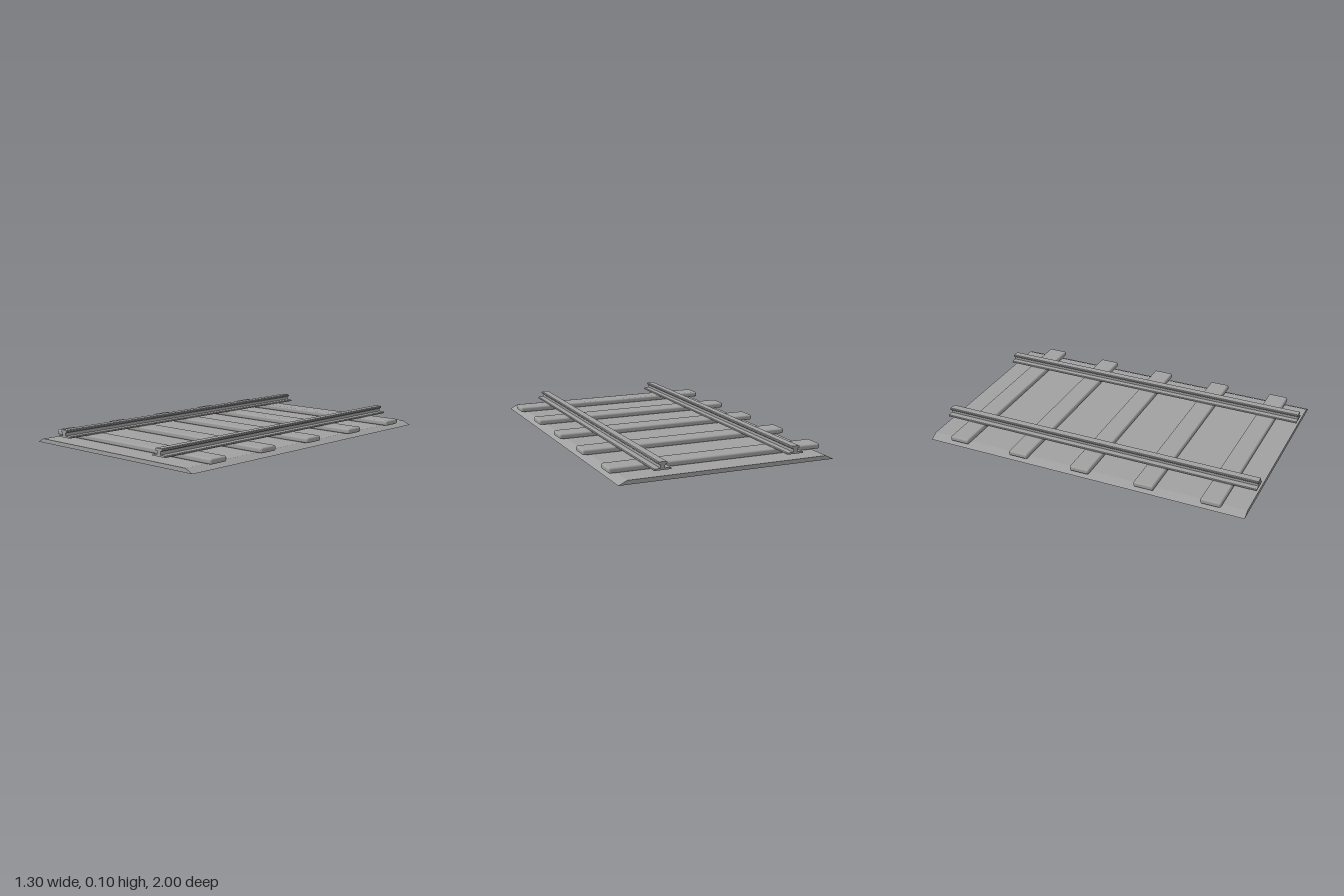
import * as THREE from 'three';
import { RoundedBoxGeometry } from 'three/addons/geometries/RoundedBoxGeometry.js';

const LENGTH = 2;

// Extrudes a half profile, mirrored about x = 0, along the whole track
function extrudeProfile(half) {
  const mirrored = half.map(([x, y]) => [-x, y]).reverse();
  const points = [...half, ...mirrored].map(([x, y]) => new THREE.Vector2(x, y));
  const geometry = new THREE.ExtrudeGeometry(new THREE.Shape(points), { depth: LENGTH, bevelEnabled: false });
  return geometry.translate(0, 0, -LENGTH / 2);
}

export function createModel() {
  const track = new THREE.Group();
  track.name = 'railwayTrack';

  const grey = new THREE.MeshStandardMaterial({ color: 0xa0a0a0 });
  grey.name = 'grey';

  const add = (name, geometry, x = 0, y = 0, z = 0) => {
    const mesh = new THREE.Mesh(geometry, grey);
    mesh.name = name;
    mesh.position.set(x, y, z);
    track.add(mesh);
  };

  // Ballast bed with sloping sides
  add('ballast', extrudeProfile([[0.65, 0], [0.6, 0.024]]));

  // Five rounded sleepers
  const sleeper = new RoundedBoxGeometry(1.296, 0.032, 0.122, 3, 0.011);
  for (let i = -2; i <= 2; i++) add('sleeper', sleeper, 0, 0.041, i * 0.4);

  // Two rails: wide foot, narrow web, chamfered head
  const rail = extrudeProfile([
    [0.05, 0.056], [0.05, 0.061], [0.046, 0.065], [0.013, 0.066],
    [0.013, 0.086], [0.021, 0.086], [0.025, 0.09], [0.025, 0.097], [0.021, 0.101],
  ]);
  add('leftRail', rail, 0.4);
  add('rightRail', rail, -0.4);

  return track;
}
